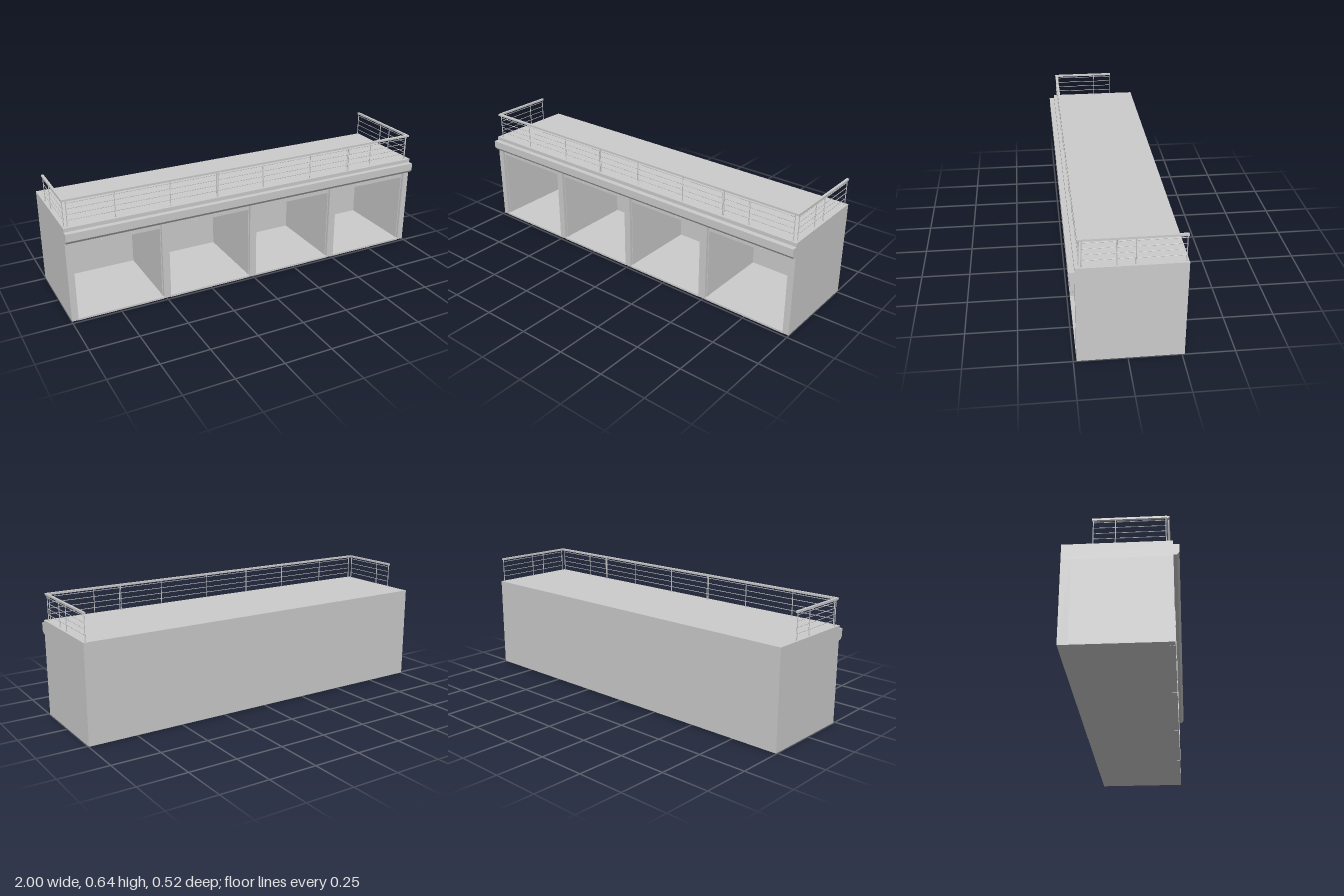
import * as THREE from 'three';

const material = new THREE.MeshStandardMaterial({ color: 0xcccccc });

export function createModel() {
  const model = new THREE.Group();
  model.name = 'garageRow';

  // Box given by its minimum and maximum along each axis
  const box = (parent, name, x0, x1, y0, y1, z0, z1) => {
    const mesh = new THREE.Mesh(new THREE.BoxGeometry(x1 - x0, y1 - y0, z1 - z0), material);
    mesh.position.set((x0 + x1) / 2, (y0 + y1) / 2, (z0 + z1) / 2);
    mesh.name = name;
    parent.add(mesh);
    return mesh;
  };
  // Round bar between two points
  const bar = (parent, name, a, b, radius, sides = 8) => {
    const from = new THREE.Vector3(...a), to = new THREE.Vector3(...b);
    const dir = to.clone().sub(from);
    const mesh = new THREE.Mesh(new THREE.CylinderGeometry(radius, radius, dir.length(), sides), material);
    mesh.position.copy(from).add(to).multiplyScalar(0.5);
    mesh.quaternion.setFromUnitVectors(new THREE.Vector3(0, 1, 0), dir.normalize());
    mesh.name = name;
    parent.add(mesh);
  };

  const back = -0.262, front = 0.235, roofY = 0.503, inner = -0.215;

  // Shell: floor, back wall, roof slab
  const shell = new THREE.Group();
  shell.name = 'shell';
  model.add(shell);
  box(shell, 'floor', -1, 1, 0.002, 0.008, back, front);
  box(shell, 'backWall', -1, 1, 0.008, 0.425, back, inner);
  box(shell, 'roof', -1, 1, 0.425, roofY, back, front);

  // Walls between the bays, ending in front pillars
  const walls = [[-1, -0.967], [-0.515, -0.477], [-0.02, 0.017], [0.471, 0.512], [0.967, 1]];
  walls.forEach(([x0, x1]) => box(shell, 'bayWall', x0, x1, 0.008, 0.425, inner, front));

  // Bay fronts: lintel, recessed door head, sill and small lugs
  for (let i = 0; i < 4; i++) {
    const x0 = walls[i][1], x1 = walls[i + 1][0], mid = (x0 + x1) / 2;
    const bay = new THREE.Group();
    bay.name = 'bayFront';
    model.add(bay);
    box(bay, 'lintel', x0, x1, 0.415, 0.426, 0.18, 0.227);
    box(bay, 'doorHead', x0, x1, 0.392, 0.415, 0.205, 0.22);
    box(bay, 'sill', x0, x1, 0, 0.01, 0.21, front);
    for (const s of [-1, 1]) {
      box(bay, 'lug', mid + s * 0.075 - 0.005, mid + s * 0.075 + 0.005, 0.397, 0.403, 0.22, 0.224);
      const jamb = mid + s * ((x1 - x0) / 2 - 0.002);
      box(bay, 'jamb', jamb - 0.002, jamb + 0.002, 0.01, 0.392, 0.205, 0.22);
    }
  }

  // Cornice with a chamfered lower edge, extruded along x
  const profile = new THREE.Shape([
    [0.225, 0.429], [0.25, 0.429], [0.262, 0.444], [0.262, 0.484], [0.225, 0.484],
  ].map(([z, y]) => new THREE.Vector2(-z, y)));
  const corniceGeometry = new THREE.ExtrudeGeometry(profile, { depth: 2, bevelEnabled: false });
  corniceGeometry.rotateY(Math.PI / 2).translate(-1, 0, 0);
  const cornice = new THREE.Mesh(corniceGeometry, material);
  cornice.name = 'cornice';
  model.add(cornice);

  // Railing around the front and both ends
  const railing = new THREE.Group();
  railing.name = 'railing';
  model.add(railing);
  const railHeights = [0.534, 0.563, 0.592, 0.621];
  const handrailY = 0.636, frontZ = 0.217, leftX = 0.986, rightX = -0.989;

  const post = (x, z, radius = 0.0022) => {
    bar(railing, 'post', [x, roofY, z], [x, handrailY, z], radius);
    bar(railing, 'postFoot', [x, roofY, z], [x, roofY + 0.002, z], radius * 2);
  };
  const run = (a, b) => {
    for (const y of railHeights) bar(railing, 'rail', [a[0], y, a[1]], [b[0], y, b[1]], 0.0017, 6);
  };

  // Front run, heavier posts where sections join
  for (const x of [-0.975, -0.74, -0.455, 0.062, 0.347, 0.735, 0.972]) post(x, frontZ);
  for (const x of [-0.2, 0.589]) {
    post(x - 0.004, frontZ);
    post(x + 0.004, frontZ);
  }
  run([-0.975, frontZ], [0.972, frontZ]);
  box(railing, 'frontHandrail', -0.993, 0.991, 0.631, 0.641, 0.208, 0.222);

  // End runs, the right one shorter
  const ends = [
    [leftX, [0.205, 0.052, -0.03, -0.25], -0.255],
    [rightX, [0.205, -0.022, -0.122], -0.128],
  ];
  for (const [x, posts, end] of ends) {
    posts.forEach((z) => post(x, z));
    run([x, posts[0]], [x, posts[posts.length - 1]]);
    box(railing, 'endHandrail', x - 0.006, x + 0.006, 0.631, 0.641, end, 0.21);
  }

  return model;
}
